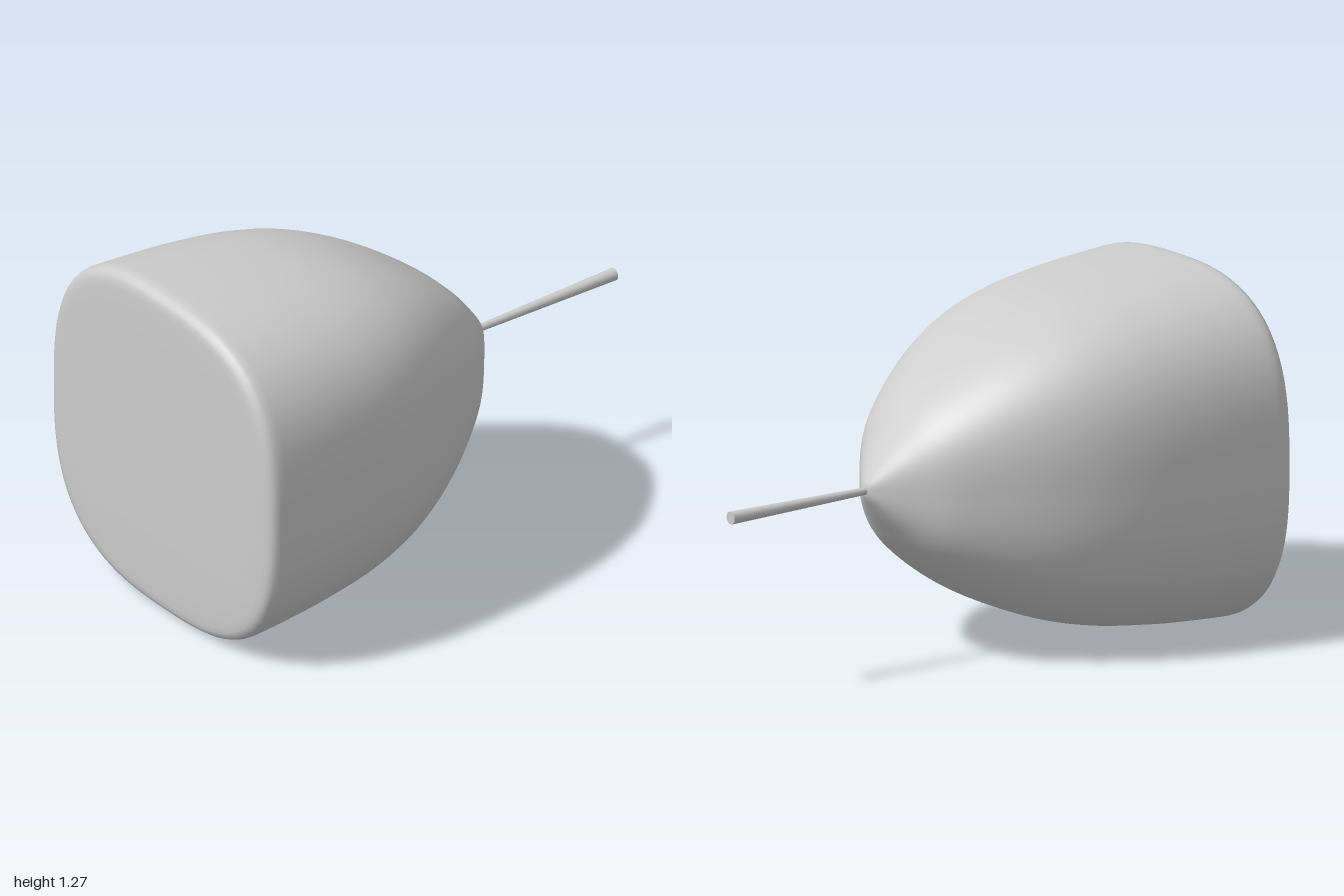
import * as THREE from 'three';
import { mergeVertices } from 'three/addons/utils/BufferGeometryUtils.js';

const CENTER_Y = 0.64;
const SQUARENESS = 2.8;

// Revolve a (radius, z) profile, then swell each ring into a rounded square.
function roundedSquareLoft(profile, segments) {
  let geo = new THREE.LatheGeometry(profile, segments);
  geo.rotateX(Math.PI / 2);
  geo.deleteAttribute('normal');
  geo.deleteAttribute('uv');
  const pos = geo.attributes.position;
  for (let i = 0; i < pos.count; i++) {
    const x = pos.getX(i), y = pos.getY(i);
    const r = Math.hypot(x, y);
    if (r < 1e-6) continue;
    const c = Math.abs(x / r), s = Math.abs(y / r);
    const k = Math.pow(c ** SQUARENESS + s ** SQUARENESS, -1 / SQUARENESS);
    pos.setXY(i, x * k, y * k);
  }
  geo = mergeVertices(geo, 1e-5);
  geo.computeVertexNormals();
  return geo;
}

export function createModel() {
  const group = new THREE.Group();
  const gray = new THREE.MeshStandardMaterial({ color: 0xcccccc });
  gray.name = 'light gray';

  // Body: bullet-shaped side from the rear tip to the front rim
  const side = new THREE.SplineCurve([
    [0.02, -0.405], [0.055, -0.385], [0.15, -0.315], [0.28, -0.2], [0.425, 0],
    [0.525, 0.2], [0.583, 0.4], [0.615, 0.62], [0.63, 0.8], [0.637, 0.93],
  ].map(([r, z]) => new THREE.Vector2(r, z))).getPoints(50);

  // Softly rounded rim and nearly flat front face
  const front = [
    [0.636, 0.95], [0.631, 0.966], [0.621, 0.978], [0.605, 0.985],
    [0.58, 0.988], [0.5, 0.99], [0.3, 0.991], [0, 0.992],
  ].map(([r, z]) => new THREE.Vector2(r, z));

  const tip = [new THREE.Vector2(0, -0.41)];
  const body = new THREE.Mesh(roundedSquareLoft([...tip, ...side, ...front], 96), gray);
  body.name = 'body';
  body.position.y = CENTER_Y;
  group.add(body);

  // Thin rod behind the tip, widening towards its free end
  const rodGeo = new THREE.CylinderGeometry(0.013, 0.023, 0.62, 24);
  rodGeo.rotateX(Math.PI / 2);
  const rod = new THREE.Mesh(rodGeo, gray);
  rod.name = 'rearRod';
  rod.position.set(0, CENTER_Y, -0.69);
  group.add(rod);

  return group;
}
